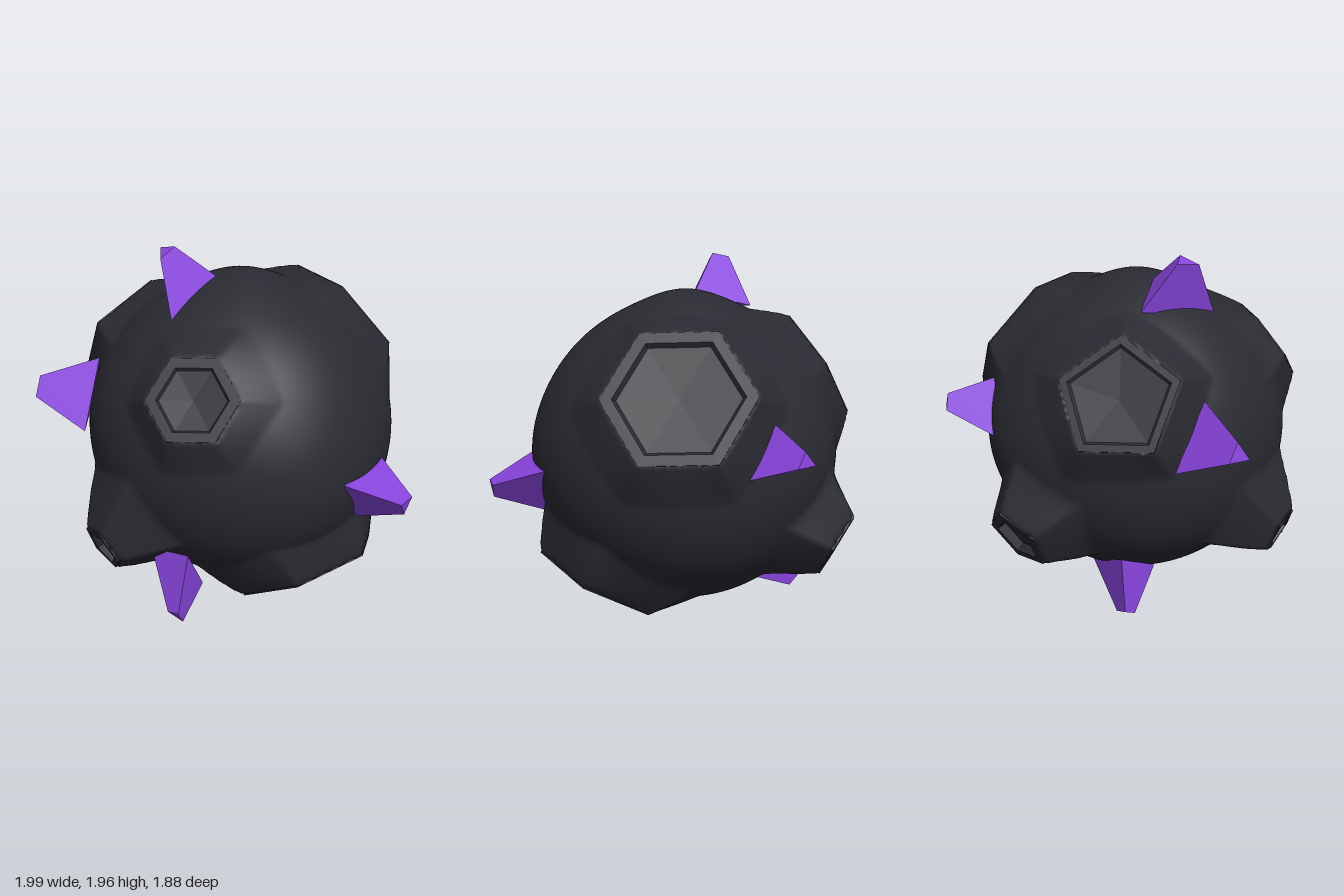
import * as THREE from 'three';
import { mergeVertices } from 'three/addons/utils/BufferGeometryUtils.js';
import { ConvexGeometry } from 'three/addons/geometries/ConvexGeometry.js';

const V = (a) => new THREE.Vector3(...a);
const CENTRE = V([0.11, 0.95, 0.09]);
const RADIUS = 0.825;

// Craters: rim centre, outward normal, direction to one corner, sides, size,
// inner rim ratio, depth and reach of the raised ground around the rim
const CRATERS = [
  { name: 'frontCrater', c: [-0.12, 1.39, 0.8], n: [-0.15, 0.56, 0.81], k: [0.23, 0.02, 0.04], sides: 6, R: 0.24, inner: 0.77, depth: 0.015, reach: 1.2 },
  { name: 'upperCrater', c: [0.683, 1.395, -0.33], n: [0.7, 0.53, -0.48], k: [-0.03, 0.3, 0.29], sides: 6, R: 0.4, inner: 0.84, depth: 0.025, reach: 1.0 },
  { name: 'lowerCrater', c: [0.49, 0.205, 0.38], n: [0.38, -0.88, 0.29], k: [-0.08, 0.12, 0.38], sides: 6, R: 0.4, inner: 0.84, depth: 0.03, reach: 1.1 },
  { name: 'backCrater', c: [-0.53, 1.36, -0.33], n: [-0.68, 0.5, -0.54], k: [0.15, 0.3, 0.09], sides: 5, R: 0.33, inner: 0.86, depth: 0.015, reach: 1.0 },
  { name: 'sideVent', c: [-0.61, 0.44, 0.62], n: [-0.72, -0.4, 0.56], k: [0, 0.2, 0.12], sides: 5, R: 0.14, inner: 0.72, depth: 0.05, reach: 2.8 },
  { name: 'rearVent', c: [-0.15, 0.49, -0.755], n: [-0.3, -0.46, -0.83], k: [0, 0.2, -0.1], sides: 5, R: 0.195, inner: 0.72, depth: 0.05, reach: 1.7 },
];

// Low swells of the ground: direction, height and angular width
const SWELLS = [
  [V([0, 1, 0]), 0.045, 0.28],
  [V([0, 0, -1]), 0.02, 0.35],
  [V([0, -1, 0]), 0.02, 0.4],
  [V([0.5, -0.15, 0.85]).normalize(), 0.035, 0.45],
];

// Crystals: tip centre, then three base corners
const CRYSTALS = [
  ['topCrystal', [-0.28, 1.95, 0.18], [-0.24, 1.63, 0.38], [0, 1.78, 0.12], [-0.26, 1.7, -0.07]],
  ['leftCrystal', [-0.99, 1.15, 0.11], [-0.65, 1.32, 0.1], [-0.72, 0.98, 0.31], [-0.72, 0.98, -0.1]],
  ['rightCrystal', [0.96, 0.79, 0.75], [0.64, 0.91, 0.77], [0.86, 0.91, 0.45], [0.72, 0.63, 0.58]],
  ['frontCrystal', [-0.21, 0.2, 0.89], [-0.15, 0.52, 0.82], [-0.35, 0.46, 0.64], [-0.08, 0.26, 0.66]],
  ['bottomCrystal', [-0.45, 0.07, -0.25], [-0.42, 0.38, -0.26], [-0.3, 0.23, 0], [-0.045, 0.21, -0.255]],
  ['backCrystal', [0.42, 1.11, -0.92], [0.33, 1.25, -0.65], [0.15, 0.98, -0.75], [0.51, 0.98, -0.63]],
];

// Axes with y along the normal and z toward the corner
function axes(normal, corner) {
  const y = normal.clone().normalize();
  const z = corner.clone().addScaledVector(y, -corner.dot(y)).normalize();
  return { x: y.clone().cross(z), y, z };
}

// Flat-faced copy of a geometry
function faceted(geometry) {
  const g = geometry.toNonIndexed();
  g.computeVertexNormals();
  return g;
}

// Distance from the centre to the ground in a given direction
function groundRadius(dir) {
  let lift = 0;
  for (const [axis, height, width] of SWELLS) {
    lift += height * Math.exp(-((dir.angleTo(axis) / width) ** 2));
  }
  for (const k of CRATERS) {
    const f = axes(V(k.n), V(k.k));
    const slope = dir.dot(f.y);
    if (slope < 0.35) continue;
    const t = V(k.c).sub(CENTRE).dot(f.y) / slope;
    const p = dir.clone().multiplyScalar(t).add(CENTRE).sub(V(k.c));
    const u = p.dot(f.x), v = p.dot(f.z);
    // Position measured against the polygon: 1 lies on the rim
    const step = (2 * Math.PI) / k.sides;
    const a = ((Math.atan2(u, v) + 4 * Math.PI) % step) - step / 2;
    const q = (Math.hypot(u, v) * Math.cos(a)) / (k.R * Math.cos(step / 2));
    if (q < (1 + k.inner) / 2) return t - (k.depth + 0.04) / slope;
    if (q < 1) return t - 0.006;
    // Outside, the height of the nearest rim point fades into the ground
    const rim = p.divideScalar(q).add(V(k.c)).distanceTo(CENTRE);
    const fade = Math.max(0, 1 - (q - 1) / k.reach);
    lift = Math.max(lift, fade ** 1.5 * (rim - RADIUS));
  }
  return RADIUS + lift;
}

function buildRock() {
  const ball = new THREE.IcosahedronGeometry(1, 48);
  ball.deleteAttribute('uv');
  ball.deleteAttribute('normal');
  const g = mergeVertices(ball);
  const pos = g.attributes.position;
  const d = new THREE.Vector3();
  for (let i = 0; i < pos.count; i++) {
    d.fromBufferAttribute(pos, i).normalize();
    d.multiplyScalar(groundRadius(d)).add(CENTRE);
    pos.setXYZ(i, d.x, d.y, d.z);
  }
  g.computeVertexNormals();
  return g;
}

export function createModel() {
  const model = new THREE.Group();
  model.name = 'crystalAsteroid';
  const rock = new THREE.MeshStandardMaterial({ color: 0x2a2a32 });
  rock.name = 'darkRock';
  const crystal = new THREE.MeshStandardMaterial({ color: 0x8844dd });
  crystal.name = 'purpleCrystal';

  const body = new THREE.Mesh(buildRock(), rock);
  body.name = 'rockBody';
  model.add(body);

  // Polygonal rim, wall and shallow floor of each crater
  for (const k of CRATERS) {
    const profile = [[1, -0.04], [1, 0], [k.inner, 0], [k.inner - 0.05, -k.depth], [0, -k.depth - 0.015]]
      .map(([r, y]) => new THREE.Vector2(r * k.R, y));
    const mesh = new THREE.Mesh(faceted(new THREE.LatheGeometry(profile, k.sides)), rock);
    mesh.name = k.name;
    const f = axes(V(k.n), V(k.k));
    mesh.quaternion.setFromRotationMatrix(new THREE.Matrix4().makeBasis(f.x, f.y, f.z));
    mesh.position.set(...k.c);
    model.add(mesh);
  }

  // Three-sided blunt crystals: the tip is a smaller copy of the base
  for (const [name, tip, ...base] of CRYSTALS) {
    const corners = base.map(V);
    const middle = corners.reduce((sum, c) => sum.add(c), new THREE.Vector3()).divideScalar(3);
    const top = corners.map((c) => c.clone().sub(middle).multiplyScalar(0.29).add(V(tip)));
    const mesh = new THREE.Mesh(new ConvexGeometry([...corners, ...top]), crystal);
    mesh.name = name;
    model.add(mesh);
  }
  return model;
}
